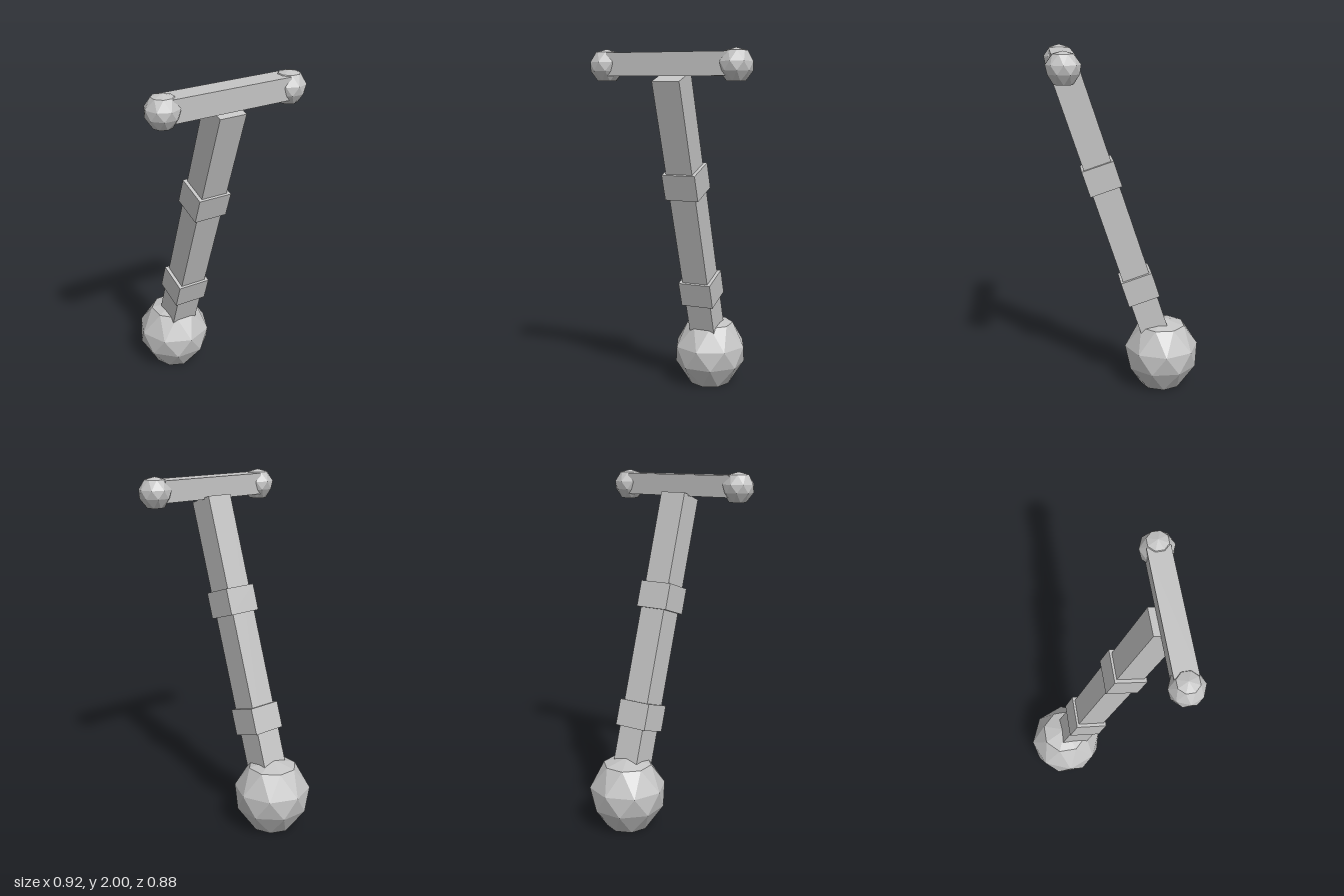
import * as THREE from 'three';

const grey = new THREE.MeshStandardMaterial({ color: 0xc4c4c4 });
grey.name = 'grey';

// Faceted ball with a flat base: staggered eight-sided rings closed by a pole
function facetedBall() {
  const rings = [[0.122, 0], [0.21, 0.13], [0.219, 0.245], [0.139, 0.378]];
  const n = 8;
  const point = (k, i) => {
    const a = ((i + k / 2) / n) * Math.PI * 2;
    return [rings[k][0] * Math.sin(a), rings[k][1], rings[k][0] * Math.cos(a)];
  };
  const pos = [];
  const tri = (...corners) => corners.forEach((c) => pos.push(...c));
  for (let i = 0; i < n; i++) {
    tri(point(0, i + 1), point(0, i), [0, 0, 0]);
    for (let k = 0; k < 3; k++) {
      tri(point(k, i), point(k, i + 1), point(k + 1, i));
      tri(point(k, i + 1), point(k + 1, i + 1), point(k + 1, i));
    }
    tri(point(3, i), point(3, i + 1), [0, 0.415, 0]);
  }
  const geo = new THREE.BufferGeometry();
  geo.setAttribute('position', new THREE.Float32BufferAttribute(pos, 3));
  geo.computeVertexNormals();
  return geo;
}

export function createModel() {
  const model = new THREE.Group();
  model.name = 'leaningHandle';
  const add = (name, geo, x, y, z, parent = model) => {
    const mesh = new THREE.Mesh(geo, grey);
    mesh.name = name;
    mesh.position.set(x, y, z);
    parent.add(mesh);
    return mesh;
  };

  // Base ball
  const ball = facetedBall();
  add('baseBall', ball, 0, 0, -0.222);

  // Leaning shaft with two collars, built upright and tilted forward
  const lever = new THREE.Group();
  lever.name = 'lever';
  lever.position.set(0, 0.627, -0.083);
  lever.rotation.x = Math.atan(0.331);
  model.add(lever);
  const bottom = -0.4, top = 1.296;
  add('shaft', new THREE.BoxGeometry(0.156, top - bottom, 0.16), 0, (top + bottom) / 2, 0, lever);
  const collar = new THREE.BoxGeometry(0.196, 0.152, 0.188);
  add('lowerCollar', collar, 0, 0, 0, lever);
  add('upperCollar', collar, 0, 0.694, 0, lever);

  // Cross handle with a ball at each end
  add('handleBar', new THREE.BoxGeometry(0.68, 0.121, 0.121), 0, 1.92, 0.346);
  for (const side of [-1, 1]) {
    const knob = add(side > 0 ? 'leftKnob' : 'rightKnob', ball, side * 0.368, 1.833, 0.347);
    knob.scale.set(0.417, 0.4025, 0.417);
  }
  return model;
}
